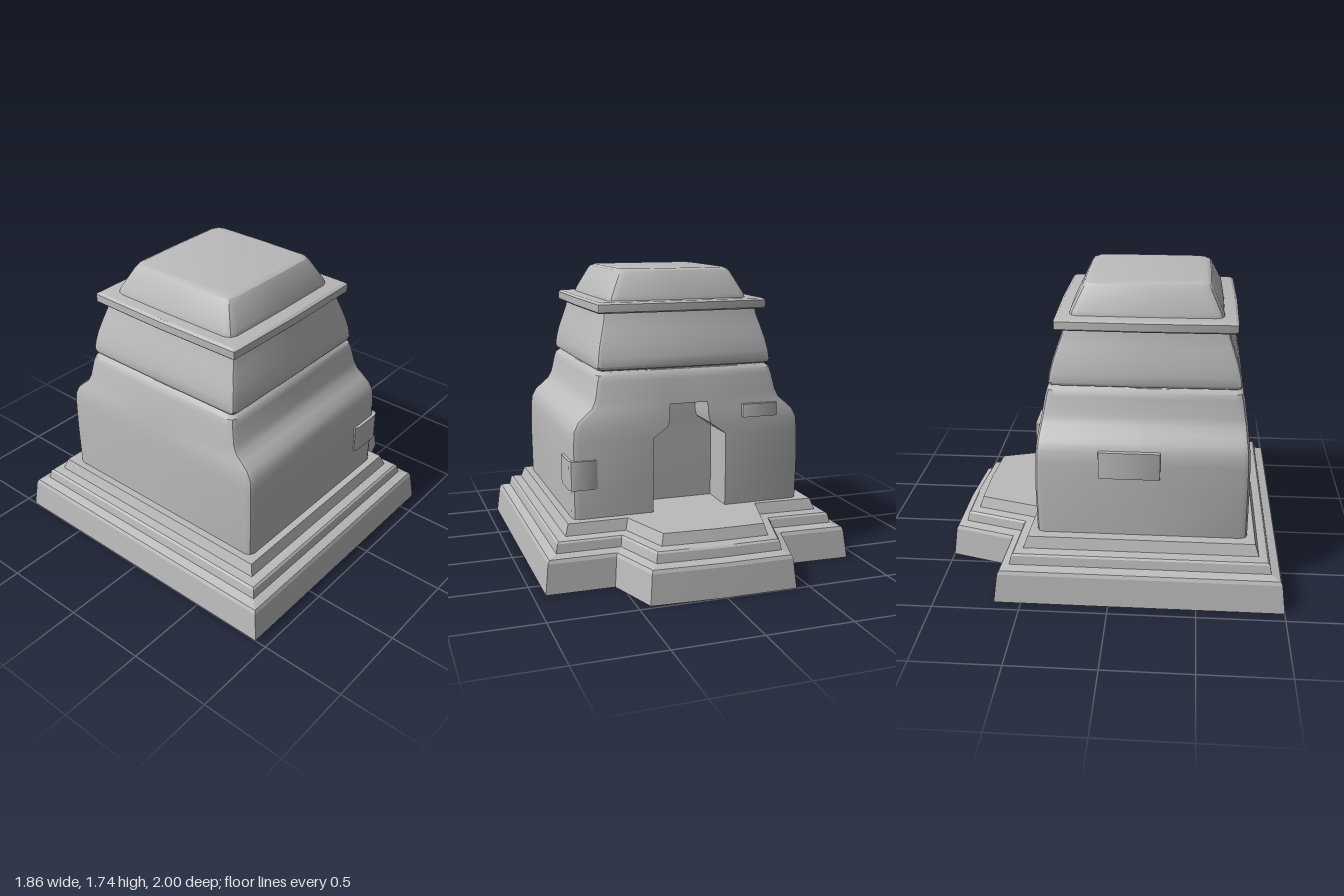
import * as THREE from 'three';
import { toCreasedNormals } from 'three/addons/utils/BufferGeometryUtils.js';

const stone = new THREE.MeshStandardMaterial({ color: 0xbbbbbb });
stone.name = 'greyStone';

// Skin a stack of loops; each is { y, pts: [[x, z], ...] }, from front right round the back to front left
function loft(name, rings, crease = 0.5, capped = true) {
  const pos = [];
  const put = (ring, i) => pos.push(ring.pts[i][0], ring.y, ring.pts[i][1]);
  const n = rings[0].pts.length;
  for (let k = 0; k < rings.length - 1; k++) {
    const lo = rings[k], hi = rings[k + 1];
    for (let i = 0; i < n; i++) {
      const j = (i + 1) % n;
      put(lo, i); put(lo, j); put(hi, j);
      put(lo, i); put(hi, j); put(hi, i);
    }
  }
  if (capped) {
    const cap = (ring, up) => {
      const flat = ring.pts.map(([x, z]) => new THREE.Vector2(x, -z));
      for (const [a, b, c] of THREE.ShapeUtils.triangulateShape(flat, [])) {
        for (const i of up ? [a, b, c] : [a, c, b]) put(ring, i);
      }
    };
    cap(rings[0], false);
    cap(rings[rings.length - 1], true);
  }
  const geometry = new THREE.BufferGeometry();
  geometry.setAttribute('position', new THREE.Float32BufferAttribute(pos, 3));
  const mesh = new THREE.Mesh(toCreasedNormals(geometry, crease), stone);
  mesh.name = name;
  return mesh;
}

// Rectangle with cut corners; bow pushes the middle of each side outwards
function rect(x0, x1, zBack, zFront, cut = 0.03, bow = 0) {
  const cx = (x0 + x1) / 2, cz = (zBack + zFront) / 2;
  return [
    [x1 - cut, zFront], [x1 - cut * 0.3, zFront - cut * 0.3], [x1, zFront - cut], [x1 + bow, cz],
    [x1, zBack + cut], [x1 - cut * 0.3, zBack + cut * 0.3], [x1 - cut, zBack], [cx, zBack - bow],
    [x0 + cut, zBack], [x0 + cut * 0.3, zBack + cut * 0.3], [x0, zBack + cut], [x0 - bow, cz],
    [x0, zFront - cut], [x0 + cut * 0.3, zFront - cut * 0.3], [x0 + cut, zFront], [cx, zFront + bow],
  ];
}

// Move every side of an outline inwards by d
function inset(pts, d) {
  const n = pts.length;
  const normal = (a, b) => {
    const dx = b[0] - a[0], dz = b[1] - a[1], l = Math.hypot(dx, dz);
    return [dz / l, -dx / l];
  };
  return pts.map((p, i) => {
    const a = normal(pts[(i + n - 1) % n], p), b = normal(p, pts[(i + 1) % n]);
    const k = d / (1 + a[0] * b[0] + a[1] * b[1]);
    return [p[0] + (a[0] + b[0]) * k, p[1] + (a[1] + b[1]) * k];
  });
}

export function createModel() {
  const group = new THREE.Group();
  group.name = 'shrine';

  // Stepped plinth with an entrance tongue at the back
  const outline = [
    [0.93, 1], [0.93, -0.65], [0.535, -0.655], [0.43, -0.975], [0, -1],
    [-0.42, -1], [-0.525, -0.64], [-0.93, -0.655], [-0.93, 1],
  ];
  const steps = [[0, 0], [0.02, 0.17], [0.03, 0.19], [0.08, 0.205], [0.09, 0.255],
    [0.1, 0.265], [0.15, 0.275], [0.172, 0.34]];
  group.add(loft('steppedPlinth', steps.map(([d, y]) => ({ y, pts: inset(outline, d) })), 0.3));

  // Lower storey: shouldered sides and a stepped doorway sunk into the back
  // [y, half width, back z, front z, doorway half width, doorway depth]
  const body = [
    [0.335, 0.705, -0.43, 0.785, 0.225, 0.24],
    [0.6, 0.708, -0.435, 0.785, 0.225, 0.24],
    [0.78, 0.705, -0.43, 0.783, 0.225, 0.24],
    [0.85, 0.7, -0.427, 0.78, 0.13, 0.235],
    [0.9, 0.675, -0.422, 0.775, 0.12, 0.23],
    [0.94, 0.63, -0.418, 0.77, 0.12, 0.226],
    [0.975, 0.59, -0.412, 0.767, 0.115, 0.22],
    [0.975, 0.59, -0.412, 0.767, 0.115, 0],
    [1.02, 0.568, -0.405, 0.76, 0.115, 0],
    [1.12, 0.548, -0.387, 0.745, 0.115, 0],
    [1.155, 0.538, -0.378, 0.735, 0.115, 0],
    [1.172, 0.518, -0.36, 0.715, 0.115, 0],
    [1.176, 0.47, -0.31, 0.66, 0.115, 0],
  ];
  group.add(loft('lowerStorey', body.map(([y, w, back, front, door, depth]) => {
    const pts = rect(0.01 - w, 0.01 + w, back, front, 0.04);
    // swap the middle of the back side for the doorway recess
    pts.splice(7, 1, [0.01 + door, back], [0.01 + door, back + depth],
      [0.01 - door, back + depth], [0.01 - door, back]);
    return { y, pts };
  }), 0.6, false));

  // Storeys above, as [y, half width, half depth] about a shared centre
  const storey = (name, rows, cut, bow, crease) => group.add(loft(name, rows.map(([y, w, d]) =>
    ({ y, pts: rect(0.01 - w, 0.01 + w, 0.18 - d, 0.18 + d, cut, bow) })), crease));
  storey('upperStorey', [
    [1.174, 0.505, 0.52], [1.184, 0.53, 0.542], [1.2, 0.537, 0.548], [1.25, 0.532, 0.542],
    [1.32, 0.519, 0.524], [1.4, 0.497, 0.498], [1.46, 0.48, 0.476], [1.505, 0.473, 0.466],
  ], 0.025, 0.003, 0.6);
  storey('cornice', [
    [1.5, 0.508, 0.505], [1.508, 0.516, 0.513], [1.552, 0.516, 0.513], [1.563, 0.5, 0.498],
  ], 0.012, 0.008, 0.6);
  storey('roofCap', [
    [1.56, 0.43, 0.437], [1.585, 0.425, 0.432], [1.71, 0.362, 0.37],
    [1.73, 0.348, 0.356], [1.74, 0.325, 0.335],
  ], 0.05, 0.004, 0.45);

  // Raised slabs on the walls
  const slab = (name, y0, y1, ...r) => group.add(loft(name,
    [{ y: y0, pts: rect(...r) }, { y: y1, pts: rect(...r) }]));
  slab('cornerSlab', 0.515, 0.685, 0.56, 0.735, -0.445, -0.2, 0.035);
  slab('sideSlab', 0.7, 0.86, -0.712, -0.66, -0.07, 0.28, 0.006);
  slab('backSlab', 0.87, 0.95, -0.54, -0.32, -0.442, -0.38, 0.006);

  return group;
}
